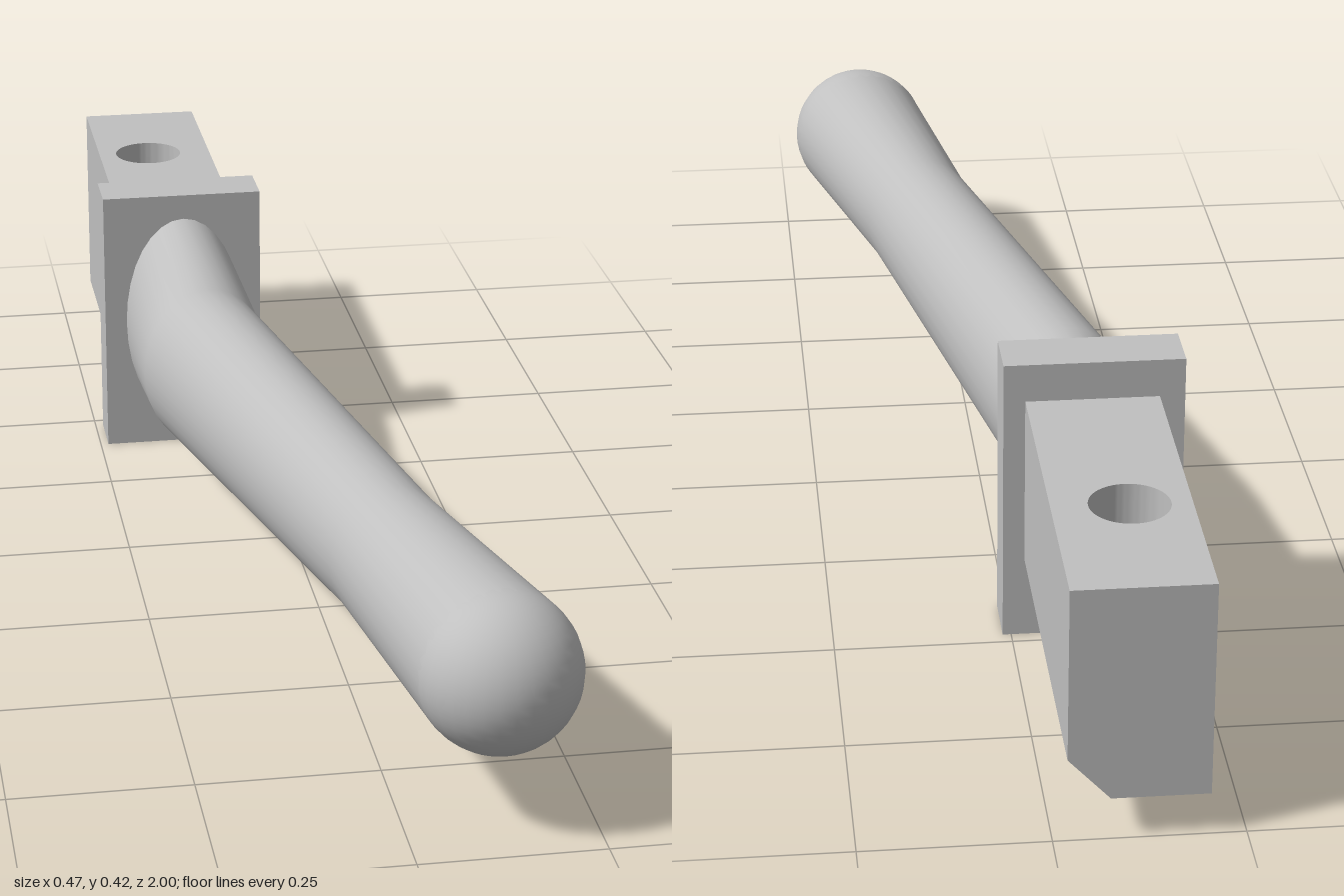
import * as THREE from 'three';
import { toCreasedNormals } from 'three/addons/utils/BufferGeometryUtils.js';

const CY = 0.21; // height of the handle axis

// Lofted tube through elliptical sections; each section is turned by yaw in plan
function loft(sections, sides) {
  const pos = [], idx = [];
  for (const { x, z, rx, ry, yaw } of sections) {
    for (let i = 0; i < sides; i++) {
      const a = (i / sides) * Math.PI * 2;
      const u = Math.cos(a) * rx;
      pos.push(x + u * Math.cos(yaw), CY + Math.sin(a) * ry, z - u * Math.sin(yaw));
    }
  }
  for (let s = 0; s < sections.length - 1; s++) {
    for (let i = 0; i < sides; i++) {
      const a = s * sides + i, b = s * sides + ((i + 1) % sides);
      idx.push(a, b, a + sides, b, b + sides, a + sides);
    }
  }
  const geo = new THREE.BufferGeometry();
  geo.setAttribute('position', new THREE.Float32BufferAttribute(pos, 3));
  geo.setIndex(idx);
  geo.computeVertexNormals();
  return geo;
}

export function createModel() {
  const model = new THREE.Group();
  const grey = new THREE.MeshStandardMaterial({ color: 0xc0c0c0 });
  grey.name = 'plain grey';

  const add = (name, geo, x = 0, y = 0, z = 0) => {
    const mesh = new THREE.Mesh(geo, grey);
    mesh.name = name;
    mesh.position.set(x, y, z);
    model.add(mesh);
  };

  // Bent, tapering grip with a round end
  add('grip', loft([
    { x: -0.111, z: -0.4, rx: 0.093, ry: 0.171, yaw: 0 },
    { x: -0.103, z: -0.193, rx: 0.1, ry: 0.127, yaw: 0.16 },
    { x: 0.05, z: 0.52, rx: 0.088, ry: 0.1, yaw: 0.21 },
    { x: 0.125, z: 0.89, rx: 0.11, ry: 0.11, yaw: 0.2 },
  ], 32));
  add('gripEnd', new THREE.SphereGeometry(0.11, 32, 24), 0.125, CY, 0.89);

  // Rectangular collar
  add('collar', new THREE.BoxGeometry(0.25, 0.42, 0.08), -0.113, CY, -0.44);

  // Tang, drawn in plan (x, -z) as two halves that meet at the chamfer's inner edge,
  // each notched by the vertical pin hole
  const left = -0.203, right = -0.018, split = -0.074;
  const front = 0.48, back = 1, bottom = 0.06, top = 0.365, chamfer = 0.06;
  const hx = -0.121, hz = 0.783, r = 0.054;
  const t = Math.acos((split - hx) / r);
  const h = r * Math.sin(t);

  const main = new THREE.Shape();
  main.moveTo(left, front);
  main.lineTo(split, front);
  main.lineTo(split, hz - h);
  main.absarc(hx, hz, r, -t, t, true);
  main.lineTo(split, back);
  main.lineTo(left, back);

  const side = new THREE.Shape();
  side.moveTo(right, front);
  side.lineTo(right, back);
  side.lineTo(split, back);
  side.lineTo(split, hz + h);
  side.absarc(hx, hz, r, t, -t, true);
  side.lineTo(split, front);

  const raise = (shape) => {
    const geo = new THREE.ExtrudeGeometry(shape, {
      depth: top - bottom, bevelEnabled: false, curveSegments: 32,
    });
    geo.rotateX(-Math.PI / 2);
    geo.translate(0, bottom, 0);
    return geo;
  };

  add('tang', toCreasedNormals(raise(main), 0.5));

  // Slope the underside of the outer half
  const sideGeo = raise(side);
  const p = sideGeo.attributes.position;
  for (let i = 0; i < p.count; i++) {
    if (p.getY(i) < bottom + 0.01) {
      p.setY(i, bottom + chamfer * (p.getX(i) - split) / (right - split));
    }
  }
  add('tangChamferedSide', toCreasedNormals(sideGeo, 0.5));

  return model;
}
